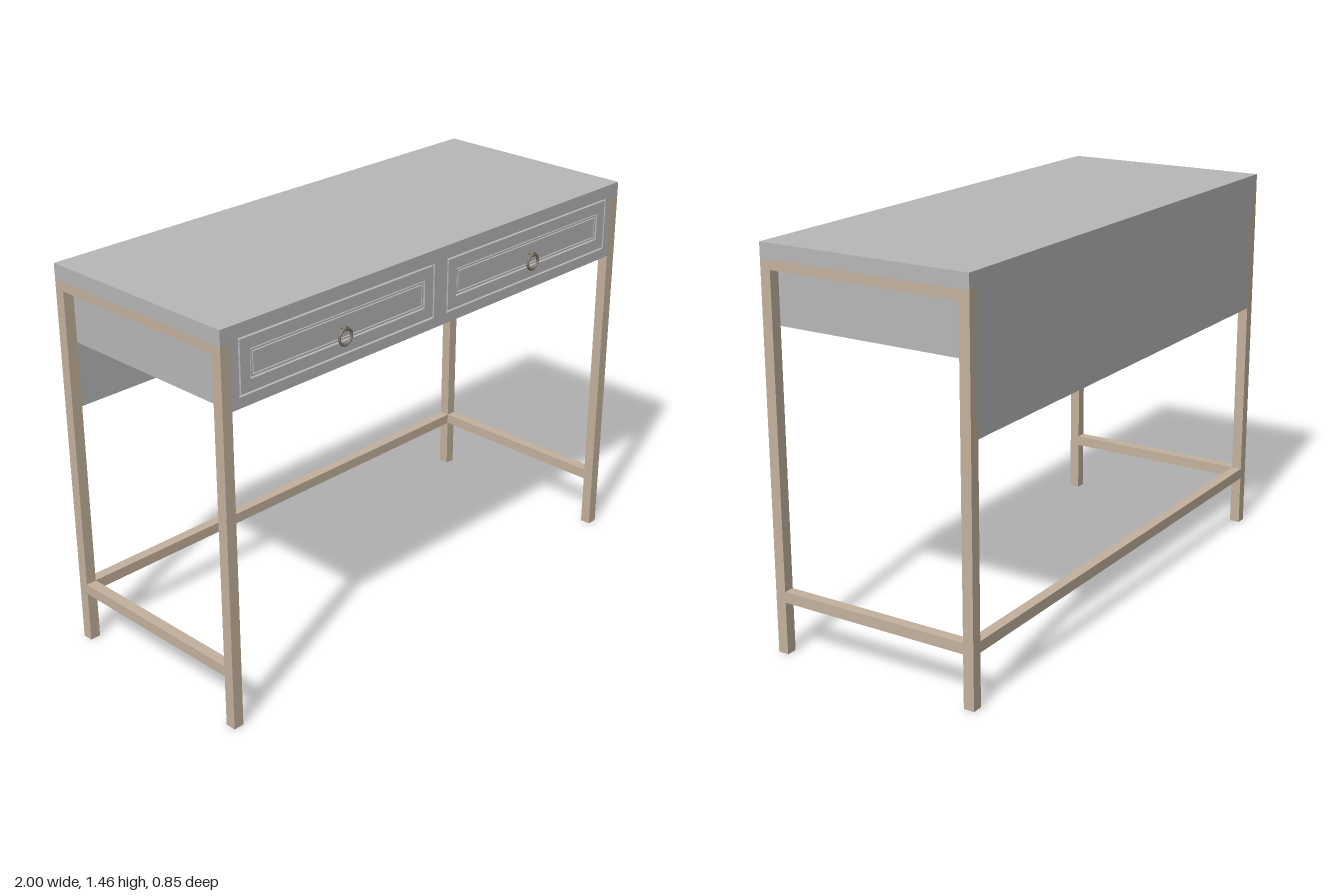
import * as THREE from 'three';

const paint = new THREE.MeshStandardMaterial({ color: 0xb8b8b8 });
paint.name = 'grey paint';
const wood = new THREE.MeshStandardMaterial({ color: 0xc4b29e });
wood.name = 'pale frame';
const metal = new THREE.MeshStandardMaterial({ color: 0x7d7566 });
metal.name = 'handle metal';

const FRONT = 0.4, BACK = -0.42, LEG = 0.04, TOP = 1.4, HEIGHT = 1.455;

function add(parent, name, geometry, material) {
  const mesh = new THREE.Mesh(geometry, material);
  mesh.name = name;
  parent.add(mesh);
  return mesh;
}

// Box given by its low and high corners
function box(parent, name, material, [x0, y0, z0], [x1, y1, z1]) {
  const g = new THREE.BoxGeometry(x1 - x0, y1 - y0, z1 - z0);
  g.translate((x0 + x1) / 2, (y0 + y1) / 2, (z0 + z1) / 2);
  return add(parent, name, g, material);
}

function trace(path, [x0, y0, x1, y1]) {
  path.moveTo(x0, y0);
  path.lineTo(x1, y0);
  path.lineTo(x1, y1);
  path.lineTo(x0, y1);
  path.closePath();
  return path;
}

// Flat board with rectangular openings, its face flush with z
function board(parent, name, rect, holes, z, depth) {
  const shape = trace(new THREE.Shape(), rect);
  for (const h of holes) shape.holes.push(trace(new THREE.Path(), h));
  const g = new THREE.ExtrudeGeometry(shape, { depth, bevelEnabled: false });
  g.translate(0, 0, z - depth);
  return add(parent, name, g, paint);
}

const inset = ([x0, y0, x1, y1], d) => [x0 + d, y0 + d, x1 - d, y1 - d];

export function createModel() {
  const model = new THREE.Group();
  model.name = 'console desk';

  // Top and case
  box(model, 'tabletop', paint, [-1, TOP + 0.008, BACK], [1, HEIGHT, FRONT]);
  box(model, 'tabletopUnderside', paint, [-1, TOP, BACK], [1, TOP + 0.008, FRONT - 0.012]);
  box(model, 'drawerCase', paint, [-0.96, 1.17, BACK + 0.02], [0.96, TOP, FRONT - 0.012]);
  box(model, 'backPanel', paint, [-0.96, 0.92, BACK], [0.96, TOP, BACK + 0.02]);

  // Drawer fronts set in a face frame, with a moulded groove around each panel
  const drawers = [-1, 1].map((s) => [s * 0.48 - 0.448, 1.208, s * 0.48 + 0.448, 1.407]);
  board(model, 'faceFrame', [-0.96, 1.17, 0.96, TOP + 0.008], drawers, FRONT, 0.012);
  for (const s of [-1, 1]) {
    box(model, 'topEdge', paint, [s < 0 ? -1 : 0.96, TOP, FRONT - 0.012],
      [s < 0 ? -0.96 : 1, TOP + 0.008, FRONT]);
  }
  drawers.forEach((opening, i) => {
    const drawer = new THREE.Group();
    drawer.name = i ? 'leftDrawer' : 'rightDrawer';
    model.add(drawer);
    const face = inset(opening, 0.007);
    const groove = inset(opening, 0.048);
    board(drawer, 'drawerFrame', face, [groove], FRONT, 0.012);
    board(drawer, 'drawerMoulding', inset(groove, 0.005), [inset(groove, 0.011)], FRONT - 0.003, 0.009);
    board(drawer, 'drawerPanel', inset(groove, 0.015), [], FRONT - 0.003, 0.009);

    // Ring pull on a short post
    const handle = new THREE.Group();
    handle.name = 'ringPull';
    handle.position.set(i ? 0.48 : -0.48, 1.28, FRONT);
    drawer.add(handle);
    add(handle, 'ring', new THREE.TorusGeometry(0.028, 0.005, 10, 32), metal).position.z = 0.017;
    const post = add(handle, 'post', new THREE.CylinderGeometry(0.006, 0.006, 0.025, 16), metal);
    post.rotation.x = Math.PI / 2;
    post.position.set(0, 0.029, 0.0125);
    const knob = add(handle, 'knob', new THREE.CylinderGeometry(0.009, 0.009, 0.01, 16), metal);
    knob.rotation.x = Math.PI / 2;
    knob.position.set(0, 0.029, 0.018);
  });

  // Legs and side rails
  for (const s of [-1, 1]) {
    const x0 = s < 0 ? -1 : 1 - LEG, x1 = x0 + LEG;
    const side = s < 0 ? 'right' : 'left';
    box(model, side + 'FrontLeg', wood, [x0, 0, FRONT - LEG], [x1, TOP, FRONT]);
    box(model, side + 'BackLeg', wood, [x0, 0, BACK], [x1, TOP, BACK + LEG]);
    box(model, side + 'TopRail', wood, [x0, 1.365, BACK + LEG], [x1, TOP, FRONT - LEG]);
    box(model, side + 'Stretcher', wood, [x0, 0.195, BACK + LEG], [x1, 0.235, FRONT - LEG]);
  }
  box(model, 'backStretcher', wood, [-0.96, 0.195, BACK], [0.96, 0.235, BACK + LEG]);

  return model;
}
